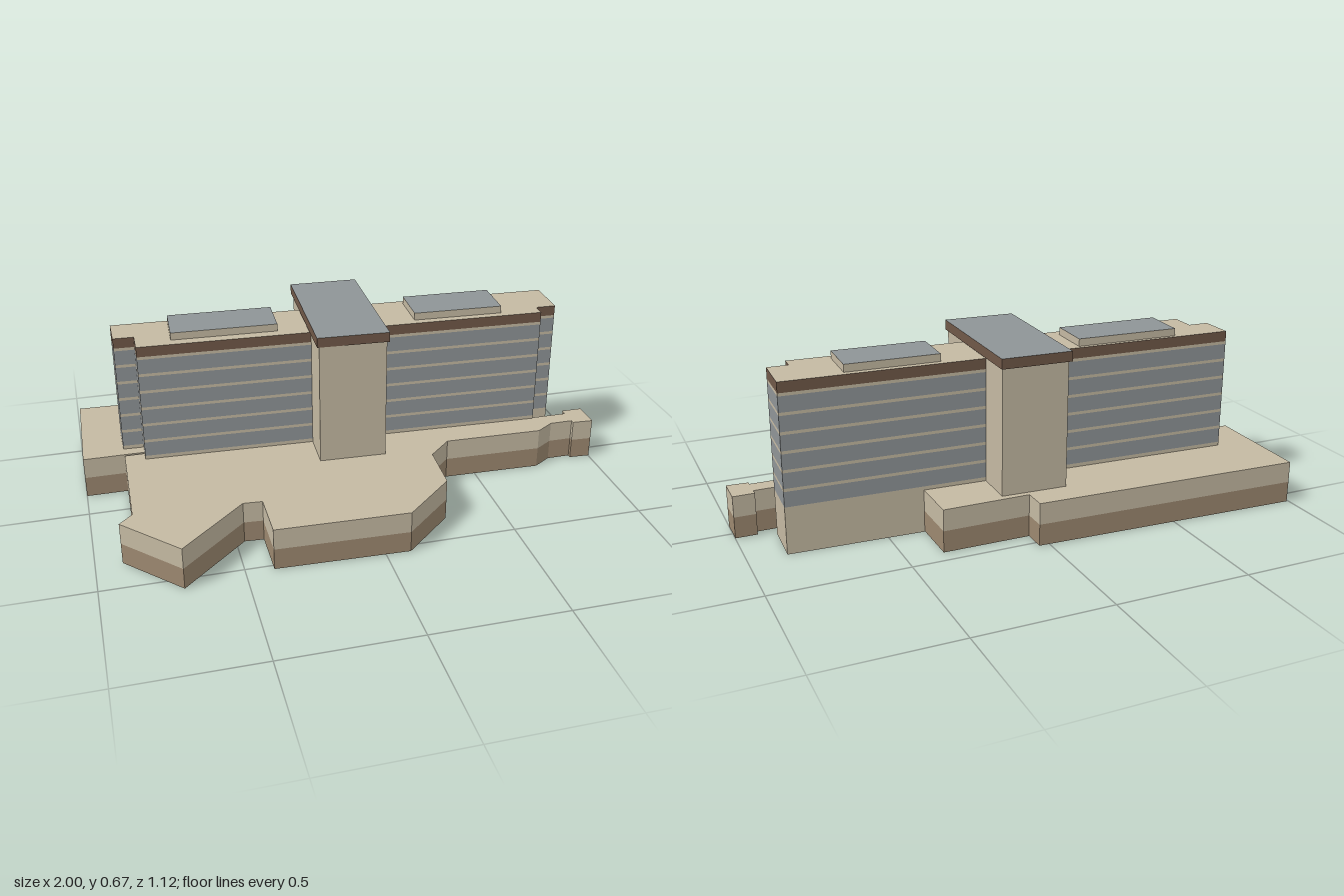
import * as THREE from 'three';

const flat = (name, color) => {
  const m = new THREE.MeshStandardMaterial({ color });
  m.name = name;
  return m;
};

export function createModel() {
  const tan = flat('tan concrete', 0xc4b9a2);
  const stone = flat('brown stone', 0x9c8870);
  const glass = flat('grey glass', 0x8f9497);
  const brown = flat('dark brown trim', 0x705848);
  const roofGrey = flat('grey roofing', 0x8e9496);

  const model = new THREE.Group();
  model.name = 'hospitalBuilding';

  // Upright prism over an [x, z] plan, from y0 to y1, with cap and wall materials
  function prism(name, plan, y0, y1, cap, wall = cap, parent = model) {
    const shape = new THREE.Shape(plan.map(([x, z]) => new THREE.Vector2(x, -z)));
    const geo = new THREE.ExtrudeGeometry(shape, { depth: y1 - y0, bevelEnabled: false });
    geo.rotateX(-Math.PI / 2);
    geo.translate(0, y0, 0);
    const mesh = new THREE.Mesh(geo, cap === wall ? cap : [cap, wall]);
    mesh.name = name;
    parent.add(mesh);
  }

  // Low podium: stone plinth below, pale storey above
  const podium = [
    [-0.99, -0.565], [0.04, -0.53], [0.04, -0.445], [0.365, -0.445],
    [0.365, -0.2], [0.7, -0.1], [0.775, -0.02], [0.92, -0.02],
    [0.92, -0.045], [1, -0.045], [1, 0.065], [0.92, 0.06],
    [0.92, 0.045], [0.83, 0.045], [0.76, 0.09], [0.38, 0.08],
    [0.29, 0.165], [0.28, 0.365], [0.09, 0.54], [-0.4, 0.525],
    [-0.4, 0.335], [-0.47, 0.33], [-0.715, 0.56], [-0.905, 0.355],
    [-0.855, 0.305], [-0.845, -0.12], [-0.77, -0.12], [-0.77, -0.13], [-1, -0.13],
  ];
  prism('podiumPlinth', podium, 0.002, 0.082, stone);
  prism('podiumStorey', podium, 0.082, 0.162, tan);

  // Long ward block with notched ends, standing on the ground
  const block = [
    [-0.845, -0.305], [0.862, -0.24], [0.855, -0.065], [0.778, -0.067],
    [0.776, -0.015], [-0.77, -0.075], [-0.768, -0.172], [-0.845, -0.175],
  ];
  const tower = new THREE.Group();
  tower.name = 'wardBlock';
  model.add(tower);
  prism('blockBase', block, 0, 0.176, tan, tan, tower);

  // Six storeys: a window band with a slab edge above each
  const pitch = 0.068;
  for (let i = 0; i < 6; i++) {
    const y = 0.176 + i * pitch;
    prism('windowBand' + (i + 1), block, y, y + pitch - 0.011, glass, glass, tower);
    prism('slabEdge' + (i + 1), block, y + pitch - 0.011, y + pitch, tan, tan, tower);
  }
  prism('blockParapet', block, 0.584, 0.623, tan, brown, tower);

  // Central lift core with an overhanging cap
  prism('liftCore', [[-0.112, -0.43], [0.134, -0.42], [0.118, 0.115], [-0.134, 0.105]],
    0, 0.63, tan);
  prism('coreCap', [[-0.12, -0.442], [0.142, -0.432], [0.126, 0.122], [-0.142, 0.108]],
    0.63, 0.667, roofGrey, brown);

  // Rooftop plant rooms
  prism('westPlantRoom', [[-0.632, -0.282], [-0.238, -0.266], [-0.245, -0.095], [-0.64, -0.11]],
    0.623, 0.651, roofGrey, tan);
  prism('eastPlantRoom', [[0.286, -0.239], [0.63, -0.226], [0.623, -0.05], [0.279, -0.065]],
    0.623, 0.651, roofGrey, tan);

  return model;
}
